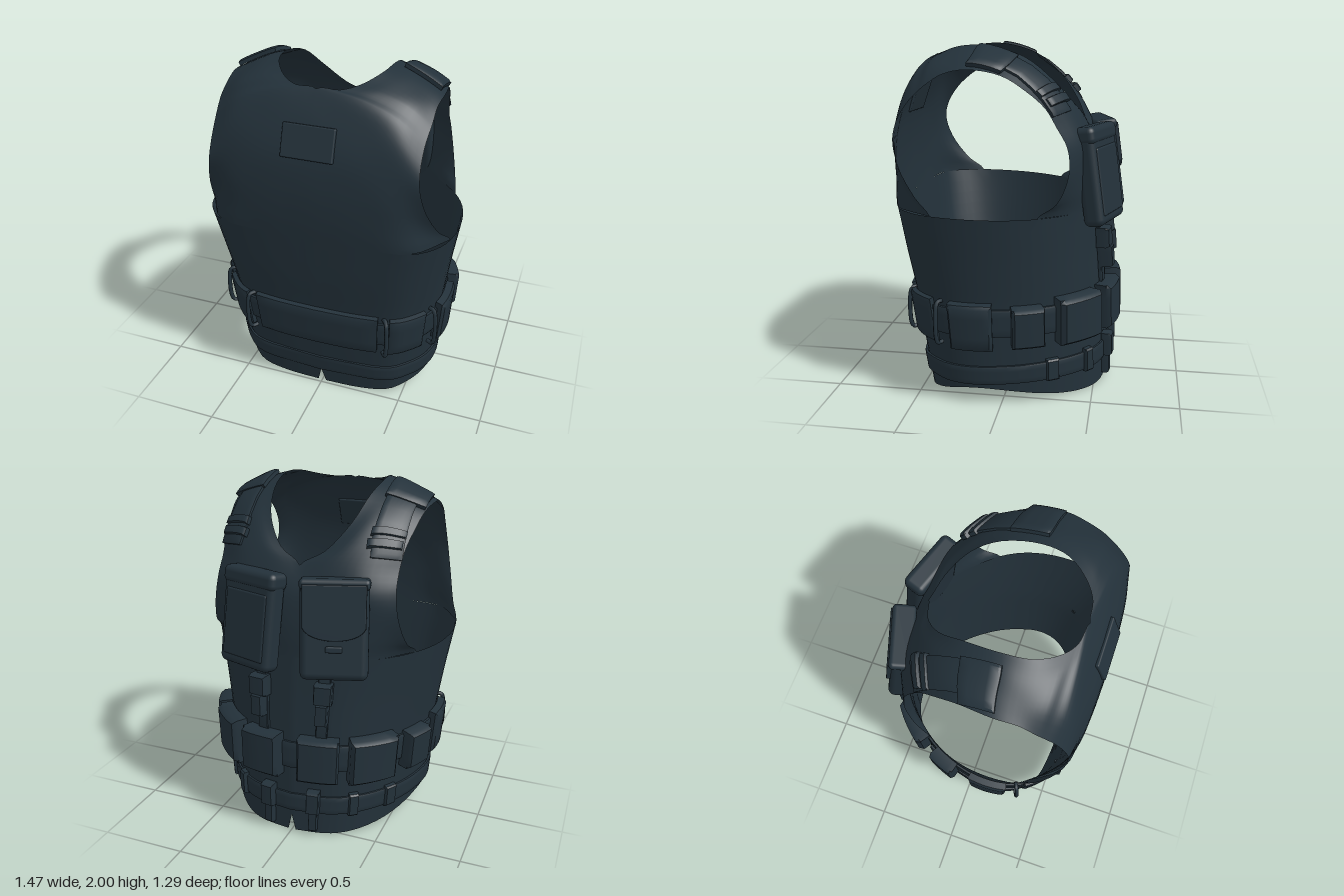
import * as THREE from 'three';
import { mergeVertices, mergeGeometries, toCreasedNormals } from 'three/addons/utils/BufferGeometryUtils.js';
import { RoundedBoxGeometry } from 'three/addons/geometries/RoundedBoxGeometry.js';

const V = (x, y, z) => new THREE.Vector3(x, y, z);
const CORE = V(0, 1, 0.05);

// Half outline of the torso at armpit height, from back centre to chest centre
const section = new THREE.CatmullRomCurve3([
  [0, 0.63], [0.3, 0.62], [0.55, 0.58], [0.68, 0.45], [0.73, 0.25],
  [0.71, 0], [0.62, -0.2], [0.455, -0.375], [0.28, -0.47], [0, -0.51],
].map(([x, z]) => V(x, 0, z)));

const HEIGHTS = [0, 0.35, 0.6, 0.85, 1.1];
function atHeight(values, y) {
  let i = 0;
  while (i < 3 && y > HEIGHTS[i + 1]) i++;
  return THREE.MathUtils.lerp(values[i], values[i + 1], (y - HEIGHTS[i]) / (HEIGHTS[i + 1] - HEIGHTS[i]));
}

// Torso surface: k runs 0 (back) - 9 (chest) - 18 (back again)
function torso(k, y) {
  k = ((k % 18) + 18) % 18;
  const h = k > 9 ? 18 - k : k;
  const p = section.getPoint(h / 9);
  // back corners grow rounder towards the hem
  p.multiplyScalar(1 - atHeight([0.055, 0.05, 0.04, 0.02, 0], y) * Math.exp(-(((h - 2.6) / 1.1) ** 2)));
  const x = p.x * atHeight([0.61, 0.64, 0.66, 0.695, 0.735], y) / 0.735 * (k > 9 ? -1 : 1);
  const z = p.z > 0 ? p.z * atHeight([0.48, 0.53, 0.56, 0.6, 0.63], y) / 0.63
    : p.z * atHeight([0.565, 0.555, 0.545, 0.525, 0.51], y) / 0.51;
  return V(x, y, z);
}
const rim = z => 1.1 + 0.03 * z;

// Rows from centre or neck edge to armhole edge: chest up to the shoulder top
const chestRows = [
  [0, 1.2, -0.51, 0.27, 1.2, -0.475, 0.44, 1.2, -0.405, 0.59, 1.17, -0.3],
  [0, 1.32, -0.5, 0.25, 1.32, -0.475, 0.4, 1.33, -0.43, 0.555, 1.32, -0.36],
  [0, 1.46, -0.47, 0.22, 1.46, -0.46, 0.38, 1.46, -0.43, 0.535, 1.46, -0.35],
  [0, 1.58, -0.4, 0.18, 1.59, -0.41, 0.36, 1.59, -0.38, 0.53, 1.57, -0.29],
  [0.13, 1.66, -0.35, 0.25, 1.68, -0.35, 0.4, 1.69, -0.3, 0.54, 1.67, -0.23],
  [0.24, 1.8, -0.24, 0.34, 1.81, -0.22, 0.44, 1.8, -0.18, 0.56, 1.76, -0.13],
  [0.29, 1.93, -0.08, 0.38, 1.91, -0.06, 0.48, 1.88, -0.04, 0.58, 1.84, 0],
  [0.31, 1.99, 0.13, 0.4, 1.965, 0.15, 0.5, 1.92, 0.16, 0.6, 1.87, 0.18],
];
// and down the other side
const backRows = [
  [0.29, 1.985, 0.28, 0.4, 1.95, 0.29, 0.5, 1.9, 0.3, 0.59, 1.845, 0.31],
  [0.21, 1.95, 0.4, 0.33, 1.93, 0.41, 0.47, 1.88, 0.41, 0.59, 1.79, 0.4],
  [0.12, 1.932, 0.46, 0.28, 1.91, 0.46, 0.45, 1.85, 0.46, 0.585, 1.75, 0.45],
  [0, 1.93, 0.48, 0.25, 1.895, 0.5, 0.44, 1.82, 0.51, 0.58, 1.7, 0.5],
  [0, 1.78, 0.57, 0.25, 1.76, 0.57, 0.44, 1.72, 0.57, 0.58, 1.6, 0.565],
  [0, 1.6, 0.63, 0.25, 1.6, 0.625, 0.43, 1.57, 0.61, 0.59, 1.5, 0.59],
  [0, 1.42, 0.65, 0.28, 1.42, 0.64, 0.46, 1.4, 0.62, 0.62, 1.36, 0.555],
  [0, 1.25, 0.645, 0.3, 1.25, 0.635, 0.52, 1.24, 0.595, 0.67, 1.2, 0.45],
];
// Rows taken from the torso so the panels leave it smoothly
const torsoRow = (ks, drop) => ks.flatMap(k => torso(k, rim(torso(k, 1.1).z) - drop).toArray());
const front = [9, 8, 7, 6], back = [0, 1, 2, 3.5];
const rows = [torsoRow(front, 0.12), torsoRow(front, 0), ...chestRows, ...backRows, torsoRow(back, 0), torsoRow(back, 0.12)];
const rails = [0, 3, 6, 9].map(o => new THREE.CatmullRomCurve3(rows.map(r => V(r[o], r[o + 1], r[o + 2]))));
const yoke = side => (c, s) => {
  const p = new THREE.CatmullRomCurve3(rails.map(r => r.getPoint((s + 1) / 19))).getPoint(c);
  p.x = Math.max(0, p.x) * side;
  return p;
};

// Grid geometry from point(i, j), wound to face away from the core
function grid(point, nu, nv) {
  const pos = [], idx = [];
  for (let j = 0; j <= nv; j++) for (let i = 0; i <= nu; i++) pos.push(...point(i, j).toArray());
  const at = (i, j) => V().fromArray(pos, (j * (nu + 1) + i) * 3);
  const i0 = nu >> 1, j0 = nv >> 1, o = at(i0, j0);
  const n = at(i0 + 1, j0).sub(o).cross(at(i0, j0 + 1).sub(o));
  const out = n.dot(o.sub(CORE)) > 0;
  for (let j = 0; j < nv; j++) for (let i = 0; i < nu; i++) {
    const a = j * (nu + 1) + i, b = a + 1, c = a + nu + 1, d = c + 1;
    idx.push(...(out ? [a, b, d, a, d, c] : [a, d, b, a, c, d]));
  }
  const g = new THREE.BufferGeometry();
  g.setAttribute('position', new THREE.Float32BufferAttribute(pos, 3));
  g.setIndex(idx);
  return g;
}

// Padded slab following a surface, with softened rims
function slab(surf, [u0, u1], [v0, v1], thick, n = 6, m = 4) {
  const stops = k => [0, 0, 0.07, ...Array.from({ length: k - 1 }, (_, i) => 0.07 + 0.86 * (i + 1) / k), 0.93, 1, 1];
  const us = stops(n), vs = stops(m);
  const lift = (i, len) => [0, 0.75][Math.min(i, len - 1 - i)] ?? 1;
  const g = grid((i, j) => {
    const u = u0 + (u1 - u0) * us[i], v = v0 + (v1 - v0) * vs[j], e = 0.01;
    const p = surf(u, v);
    const nrm = surf(u + e, v).sub(surf(u - e, v)).cross(surf(u, v + e).sub(surf(u, v - e))).normalize();
    if (nrm.dot(p.clone().sub(CORE)) < 0) nrm.negate();
    const h = Math.min(lift(i, us.length), lift(j, vs.length));
    return p.addScaledVector(nrm, 0.003 + (thick - 0.003) * h);
  }, us.length - 1, vs.length - 1);
  return toCreasedNormals(g, 0.7);
}

export function createModel() {
  const vest = new THREE.Group();
  vest.name = 'vest';
  const fabric = new THREE.MeshStandardMaterial({ color: 0x23313a, side: THREE.DoubleSide });
  fabric.name = 'darkNavyFabric';
  const add = (name, geo, parent = vest) => {
    const m = new THREE.Mesh(geo, fabric);
    m.name = name;
    parent.add(m);
    return m;
  };

  // Shell: torso ring with curved, notched hem, plus both chest-shoulder-back panels
  const cols = [0, 0.1];
  for (let i = 1; i < 36; i++) cols.push(i / 4);
  cols.push(8.9, 9);
  const ring = [...cols, ...cols.slice(0, -1).reverse().map(k => 18 - k)];
  const lower = grid((i, j) => {
    const x = Math.abs(torso(ring[i], 0).x), z = torso(ring[i], 1.1).z;
    const hem = x < 0.02 ? 0.1 : 0.1 * Math.pow(x / 0.61, 5);
    return torso(ring[i], hem + (rim(z) - hem) * j / 14);
  }, ring.length - 1, 14);
  const panels = [1, -1].map(s => grid((i, j) => yoke(s)(i / 12, j / 4), 12, 68));
  const shell = mergeVertices(mergeGeometries([lower, ...panels]), 1e-4);
  shell.computeVertexNormals();
  add('shell', shell);

  // Belt, its back pouch, and the hem band
  add('belt', slab(torso, [0, 18], [0.42, 0.58], 0.02, 72));
  add('backPouch', slab(torso, [-1.45, 1.45], [0.37, 0.63], 0.04, 12));
  const bandSurf = (k, y) => torso(k, y + 0.015 * (1 - Math.cos(Math.PI * k / 9)));
  add('hemBand', slab(bandSurf, [0, 18], [0.11, 0.22], 0.018, 72));

  // Small plate on the upper back
  const patch = add('backPatch', new RoundedBoxGeometry(0.29, 0.18, 0.03, 2, 0.008));
  patch.position.set(0, 1.685, 0.605);
  patch.rotation.x = -0.34;

  for (const side of [1, -1]) {
    const prefix = side > 0 ? 'left' : 'right';
    const body = (k, y) => torso(side > 0 ? k : 18 - k, y);
    const onBody = (name, k, y, t) => add(prefix + name, slab(body, k, y, t));

    // Belt pouches: span, bottom, top, thickness
    [[1.75, 3.05, 0.36, 0.62, 0.04], [3.7, 4.8, 0.35, 0.62, 0.06], [5.25, 6, 0.37, 0.6, 0.09],
      [6.35, 7.6, 0.36, 0.63, 0.1], [7.9, 8.8, 0.37, 0.63, 0.1]]
      .forEach(([a, b, lo, hi, t], i) => onBody('BeltPouch' + i, [a, b], [lo, hi], t));

    // Open webbing loops on the belt
    for (const k of [1.58, 3.35]) {
      const p = body(k, 0.49), out = p.clone().setY(0).normalize();
      const pts = [[0.01, -0.12], [0.045, -0.12], [0.06, -0.09], [0.06, 0.09], [0.045, 0.12], [0.01, 0.12]]
        .map(([d, h]) => p.clone().addScaledVector(out, d).add(V(0, h, 0)));
      add(prefix + 'BeltLoop', new THREE.TubeGeometry(new THREE.CatmullRomCurve3(pts), 20, 0.013, 6));
    }

    // Hem band clips and hanging strap end
    onBody('HemKeeper', [6.1, 6.4], [0.13, 0.26], 0.035);
    onBody('HemClip', [7.2, 7.5], [0.13, 0.27], 0.04);
    onBody('HemBuckle', [8.3, 8.6], [0.15, 0.29], 0.065);
    onBody('HemStrapEnd', [8.35, 8.55], [0.03, 0.17], 0.045);

    // Strap and buckle under the chest pouch
    onBody('ChestStrap', [8.2, 8.45], [0.62, 1.04], 0.025);
    onBody('ChestBuckle', [8.14, 8.5], [0.84, 0.96], 0.08);
    onBody('ChestStrapEnd', [8.2, 8.44], [0.72, 0.85], 0.09);

    // Shoulder pad, strap and buckle, laid out by x so they run straight fore and aft
    const shoulder = (x, s) => {
      const inner = yoke(1)(0, s).x, outer = yoke(1)(1, s).x;
      return yoke(side)((x - inner) / (outer - inner), s);
    };
    const onShoulder = (name, x, s, t) => add(prefix + name, slab(shoulder, x, s, t));
    onShoulder('ShoulderStrap', [0.38, 0.53], [4.5, 7.4], 0.022);
    onShoulder('ShoulderPad', [0.37, 0.575], [7.05, 8.05], 0.033);
    onShoulder('ShoulderBuckle', [0.36, 0.52], [4.95, 5.3], 0.04);
    onShoulder('ShoulderKeeper', [0.37, 0.53], [5.45, 5.75], 0.035);

    // Chest pouch, turned with the chest
    const pouch = new THREE.Group();
    pouch.name = prefix + 'ChestPouch';
    pouch.position.set(side * 0.245, 1.28, -0.505);
    pouch.rotation.set(0.15, -side * 0.31, 0, 'YXZ');
    vest.add(pouch);
    add('pouchBody', new RoundedBoxGeometry(0.37, 0.55, 0.12, 3, 0.04), pouch);
    if (side > 0) {
      add('pouchLid', new RoundedBoxGeometry(0.38, 0.1, 0.135, 3, 0.035), pouch).position.set(0, 0.23, 0);
      add('pouchFace', new RoundedBoxGeometry(0.3, 0.38, 0.03, 2, 0.012), pouch).position.set(0, -0.03, -0.052);
    } else {
      // Flap with a rounded lower edge
      const flap = new THREE.Shape();
      flap.moveTo(-0.165, 0.24).lineTo(0.165, 0.24).lineTo(0.165, 0.02);
      flap.bezierCurveTo(0.13, -0.07, -0.13, -0.07, -0.165, 0.02);
      const geo = new THREE.ExtrudeGeometry(flap, { depth: 0.015, bevelSize: 0.006, bevelThickness: 0.006, bevelSegments: 2 });
      add('pouchFlap', geo, pouch).position.z = -0.07;
      add('pouchLid', new RoundedBoxGeometry(0.38, 0.06, 0.135, 2, 0.025), pouch).position.set(0, 0.245, 0);
      add('pullTab', new RoundedBoxGeometry(0.09, 0.035, 0.02, 2, 0.008), pouch).position.set(0, -0.1, -0.063);
    }
  }
  return vest;
}
